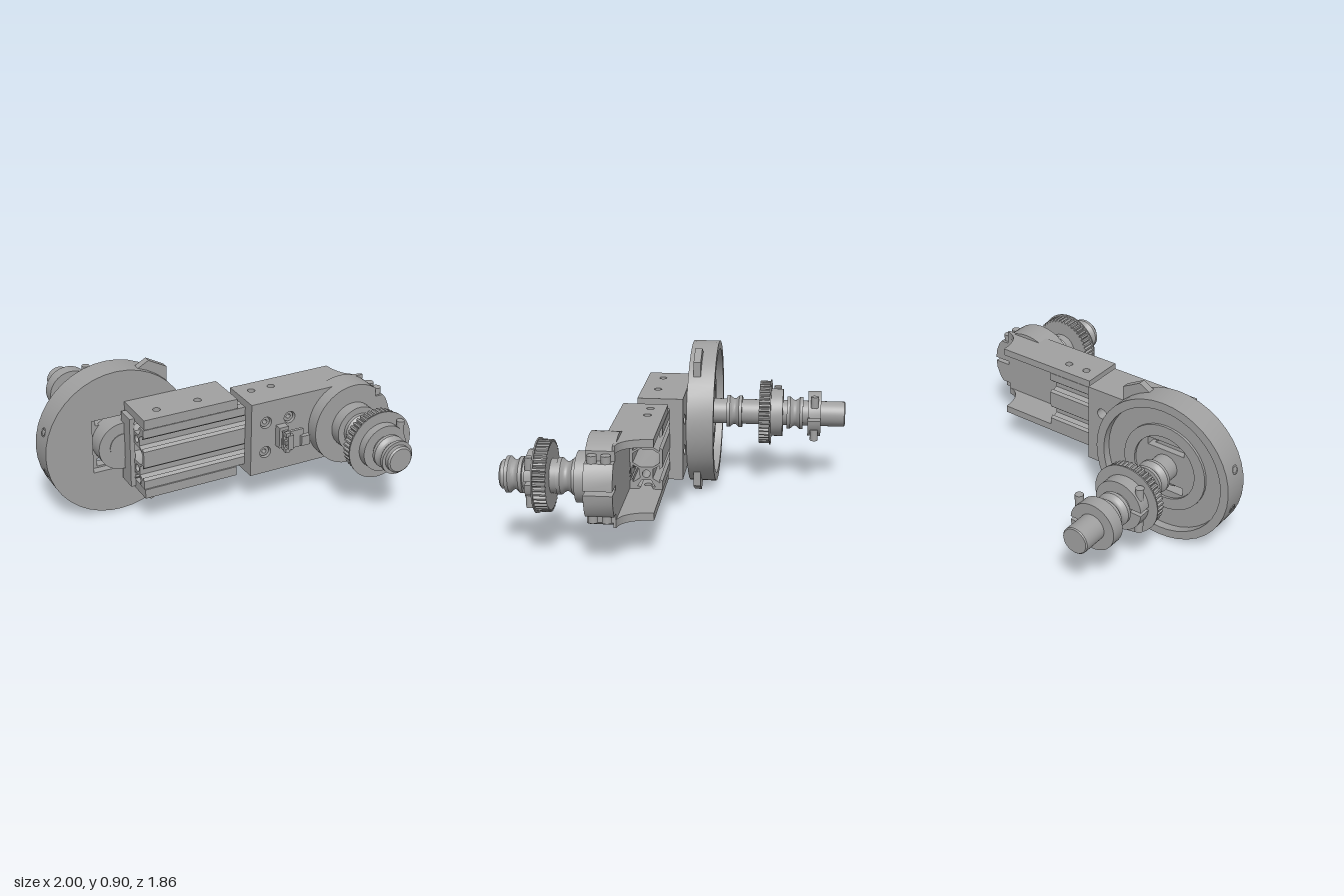
import * as THREE from 'three';
import { toCreasedNormals } from 'three/addons/utils/BufferGeometryUtils.js';

const grey = new THREE.MeshStandardMaterial({ color: 0xa0a0a0 });
grey.name = 'machined grey';

const CY = 0.453;            // height of both axles
const BACK = -0.56, FRONT = 0.74; // x of the two axles

export function createModel() {
  const model = new THREE.Group();
  model.name = 'driveArm';

  const add = (name, geo, x = 0, y = 0, z = 0) => {
    const m = new THREE.Mesh(geo, grey);
    m.name = name;
    m.position.set(x, y, z);
    model.add(m);
    return m;
  };
  const box = (name, x0, x1, y0, y1, z0, z1) =>
    add(name, new THREE.BoxGeometry(x1 - x0, y1 - y0, z1 - z0), (x0 + x1) / 2, (y0 + y1) / 2, (z0 + z1) / 2);
  const poly = pts => new THREE.Shape(pts.map(p => new THREE.Vector2(...p)));
  const rect = (x0, x1, y0, y1) => poly([[x0, y0], [x1, y0], [x1, y1], [x0, y1]]);
  const circle = (x, y, r) => {
    const s = new THREE.Shape();
    s.absarc(x, y, r, 0, Math.PI * 2, false);
    return s;
  };
  const extrude = (shape, depth, holes = []) => {
    shape.holes.push(...holes);
    return toCreasedNormals(
      new THREE.ExtrudeGeometry(shape, { depth, bevelEnabled: false, curveSegments: 20 }), 0.6);
  };
  // slab facing the front, and slab lying flat (shape drawn in x, z)
  const slab = (name, shape, z0, z1, holes) => add(name, extrude(shape, z1 - z0, holes), 0, 0, z0);
  const flat = (name, shape, y0, y1, holes) =>
    add(name, extrude(shape, y1 - y0, holes).rotateX(Math.PI / 2), 0, y1, 0);
  // turned part along z from [radius, z] points
  const turned = (name, x, pts) => add(name, toCreasedNormals(
    new THREE.LatheGeometry(pts.map(p => new THREE.Vector2(...p)), 40).rotateX(Math.PI / 2), 0.6), x, CY, 0);
  const disc = (name, x, r, z0, z1) => turned(name, x, [[0, z0], [r, z0], [r, z1], [0, z1]]);
  const bolt = (name, x, y, z, r, h) => add(name, new THREE.CylinderGeometry(r, r, h, 16), x, y, z);

  // grooved bearing section
  const bearing = (x, z0, z1) => {
    const d = z1 - z0, pts = [[0, z0], [0.1, z0], [0.1, z0 + d * 0.2]];
    for (let i = 0; i <= 8; i++) {
      const t = i / 8;
      pts.push([0.096 - 0.016 * Math.sin(Math.PI * t), z0 + d * (0.25 + 0.5 * t)]);
    }
    pts.push([0.1, z1 - d * 0.2], [0.1, z1], [0, z1]);
    turned('bearing', x, pts);
  };

  // toothed pulley with one thin side flange
  const pulley = (x, z0, z1, flangeZ) => {
    const pts = [], n = 44;
    for (let i = 0; i < n; i++) {
      [[0, 0.182], [0.25, 0.196], [0.6, 0.196], [0.85, 0.182]].forEach(([f, r]) => {
        const a = (i + f) / n * Math.PI * 2;
        pts.push([x + r * Math.cos(a), CY + r * Math.sin(a)]);
      });
    }
    slab('pulleyTeeth', poly(pts), z0, z1);
    disc('pulleyFlange', x, 0.205, flangeZ - 0.004, flangeZ + 0.004);
  };

  // clamp collar with a split and a cross bolt on one side
  const collar = (x, z0, z1, side, r = 0.14) => {
    const s = new THREE.Shape(), a = 0.07;
    s.absarc(x, CY, r, a, Math.PI * 2 - a, false);
    s.lineTo(x + 0.07, CY - 0.01);
    s.lineTo(x + 0.07, CY + 0.01);
    const m = slab('clampCollar', s, z0, z1);
    if (side < 0) {
      m.scale.x = 1;
      m.rotation.z = Math.PI;
      m.position.set(2 * x, 2 * CY, z0);
    }
    const w = z1 - z0;
    for (const k of [-1, 1]) {
      bolt('collarBolt', x + side * 0.112, CY + k * 0.105, (z0 + z1) / 2, Math.min(0.024, w * 0.45), 0.07);
    }
  };

  // rear axle
  turned('rearAxle', BACK, [[0, -0.93], [0.072, -0.93], [0.078, -0.924], [0.078, 0.08], [0, 0.08]]);
  collar(BACK, -0.78, -0.7, 1);
  bearing(BACK, -0.67, -0.57);
  collar(BACK, -0.545, -0.47, -1, 0.148);
  pulley(BACK, -0.47, -0.4, -0.468);
  bearing(BACK, -0.29, -0.195);
  disc('axleHub', BACK, 0.145, -0.05, 0.075);

  // wheel: rim, pocketed front plate, slotted web and raised hub ring
  slab('wheelRim', circle(BACK, CY, 0.441), -0.14, 0.02, [circle(BACK, CY, 0.39)]);
  slab('wheelFrontPlate', circle(BACK, CY, 0.391), -0.03, 0.02, [rect(-0.72, -0.4, 0.29, 0.62)]);
  slab('wheelWeb', circle(BACK, CY, 0.391), -0.09, -0.03,
    [rect(-0.68, -0.44, 0.56, 0.61), rect(-0.68, -0.44, 0.3, 0.35)]);
  slab('wheelHubRing', circle(BACK, CY, 0.27), -0.105, -0.09, [circle(BACK, CY, 0.2)]);
  for (const k of [-1, 1]) {
    const Y = y => CY + k * (y - CY);
    slab('wheelLug', poly([[-0.47, Y(0.72)], [-0.47, Y(0.84)], [-0.35, Y(0.905)], [-0.24, Y(0.845)], [-0.24, Y(0.72)]]),
      -0.055, -0.012);
    // sockets in the rim
    const a = Math.PI + k * 0.3;
    const socket = add('rimSocket', new THREE.TorusGeometry(0.022, 0.005, 6, 16),
      BACK + 0.439 * Math.cos(a), CY + 0.439 * Math.sin(a), -0.05);
    socket.rotation.y = Math.PI / 2;
    socket.rotation.order = 'ZYX';
    socket.rotation.z = a;
  }

  // slotted extrusion, profile drawn in units of a twentieth of its depth
  const U = 0.00925;
  const slot = (cx, cy, dx, dy) =>
    [[-4.6, 0], [-3.1, 1.8], [-5.5, 1.8], [-2.9, 6], [2.9, 6], [5.5, 1.8], [3.1, 1.8], [4.6, 0]]
      .map(([t, d]) => [(cx - dy * t - dx * d) * U, (cy + dx * t - dy * d) * U]);
  const corner = (x, y) => [[x * U, y * U]];
  const outline = poly([
    ...corner(10, -20), ...slot(10, -10, 1, 0), ...slot(10, 10, 1, 0),
    ...corner(10, 20), ...slot(0, 20, 0, 1),
    ...corner(-10, 20), ...slot(-10, 10, -1, 0), ...slot(-10, -10, -1, 0),
    ...corner(-10, -20), ...slot(0, -20, 0, -1)]);
  const cavity = poly([[8.2, -2.9], [8.2, 2.9], [4, 5.6], [-4, 5.6], [-8.2, 2.9], [-8.2, -2.9], [-4, -5.6], [4, -5.6]]
    .map(([x, y]) => [x * U, y * U]));
  const bores = [-10, 10].map(y => circle(0, y * U, 2.4 * U));
  add('extrusion', extrude(outline, 0.93, [cavity, ...bores]).rotateY(Math.PI / 2), -0.525, CY, 0.19);

  // rear U bracket, open to the front
  const rearHoles = [-0.19, -0.04].flatMap(x => [0.36, 0.55].map(y => circle(x, y, 0.033)));
  slab('rearBracketBase', rect(-0.52, 0.06, 0.21, 0.7), 0.02, 0.1, rearHoles);
  box('rearBracketStep', -0.55, -0.52, 0.225, 0.655, 0.04, 0.155);
  for (const [y0, y1] of [[0.642, 0.7], [0.208, 0.264]]) {
    flat('rearBracketPlate', rect(-0.52, 0.06, 0.02, 0.285), y0, y1,
      [[-0.4, 0.19, 0.022], [-0.145, 0.19, 0.022], [-0.46, 0.045, 0.022]].map(c => circle(...c)));
  }

  // front U bracket, open to the back, with a scooped end
  for (const [y0, y1] of [[0.638, 0.682], [0.226, 0.27]]) {
    const s = new THREE.Shape();
    s.moveTo(0.11, 0.1);
    s.lineTo(0.765, 0.1);
    s.quadraticCurveTo(0.775, 0.27, 0.89, 0.285);
    s.lineTo(0.89, 0.3);
    s.lineTo(0.11, 0.3);
    flat('frontBracketPlate', s, y0, y1, [0.2, 0.33].map(x => circle(x, 0.19, 0.022)));
  }
  const screws = [0.205, 0.36].flatMap(x => [0.36, 0.55].map(y => [x, y]));
  slab('frontBracketFace', rect(0.11, 0.8, 0.226, 0.682), 0.285, 0.36, screws.map(([x, y]) => circle(x, y, 0.036)));
  for (const [x, y] of screws) {
    slab('screwHead', circle(x, y, 0.03), 0.285, 0.345, [circle(x, y, 0.014)]);
  }

  // axle housing: clipped round flange, split clamp ear and bolts
  const flange = new THREE.Shape();
  flange.absarc(FRONT, CY, 0.25, 0.92, Math.PI * 2 - 0.92, false);
  slab('housingFlange', flange, 0.285, 0.44);
  for (const k of [-1, 1]) {
    const Y = y => CY + k * y;
    slab('clampEar', poly([[0.87, Y(0.012)], [0.995, Y(0.012)], [0.99, Y(0.06)], [0.965, Y(0.12)], [0.945, Y(0.145)], [0.87, Y(0.145)]]),
      0.285, 0.44);
    for (const z of [0.328, 0.402]) {
      bolt('clampBolt', 0.92, Y(0.15), z, 0.027, 0.07);
    }
  }
  disc('housingBoss', FRONT, 0.14, 0.44, 0.51);

  // front axle
  turned('frontAxle', FRONT, [[0, 0.3], [0.08, 0.3], [0.08, 0.918], [0.07, 0.927], [0, 0.927]]);
  bearing(FRONT, 0.51, 0.615);
  disc('spacer', FRONT, 0.095, 0.61, 0.66);
  pulley(FRONT, 0.65, 0.72, 0.722);
  collar(FRONT, 0.725, 0.775, 1);
  bearing(FRONT, 0.8, 0.895);

  // small sensor on the bracket face
  box('sensorBody', 0.27, 0.33, 0.39, 0.52, 0.36, 0.405);
  box('sensorStem', 0.285, 0.32, 0.41, 0.5, 0.4, 0.48);
  box('sensorBoard', 0.27, 0.4, 0.4, 0.51, 0.432, 0.45);
  box('sensorTip', 0.38, 0.435, 0.41, 0.47, 0.44, 0.47);
  for (const y of [0.405, 0.455, 0.505]) box('sensorPin', 0.272, 0.3, y - 0.012, y + 0.012, 0.45, 0.475);

  return model;
}
